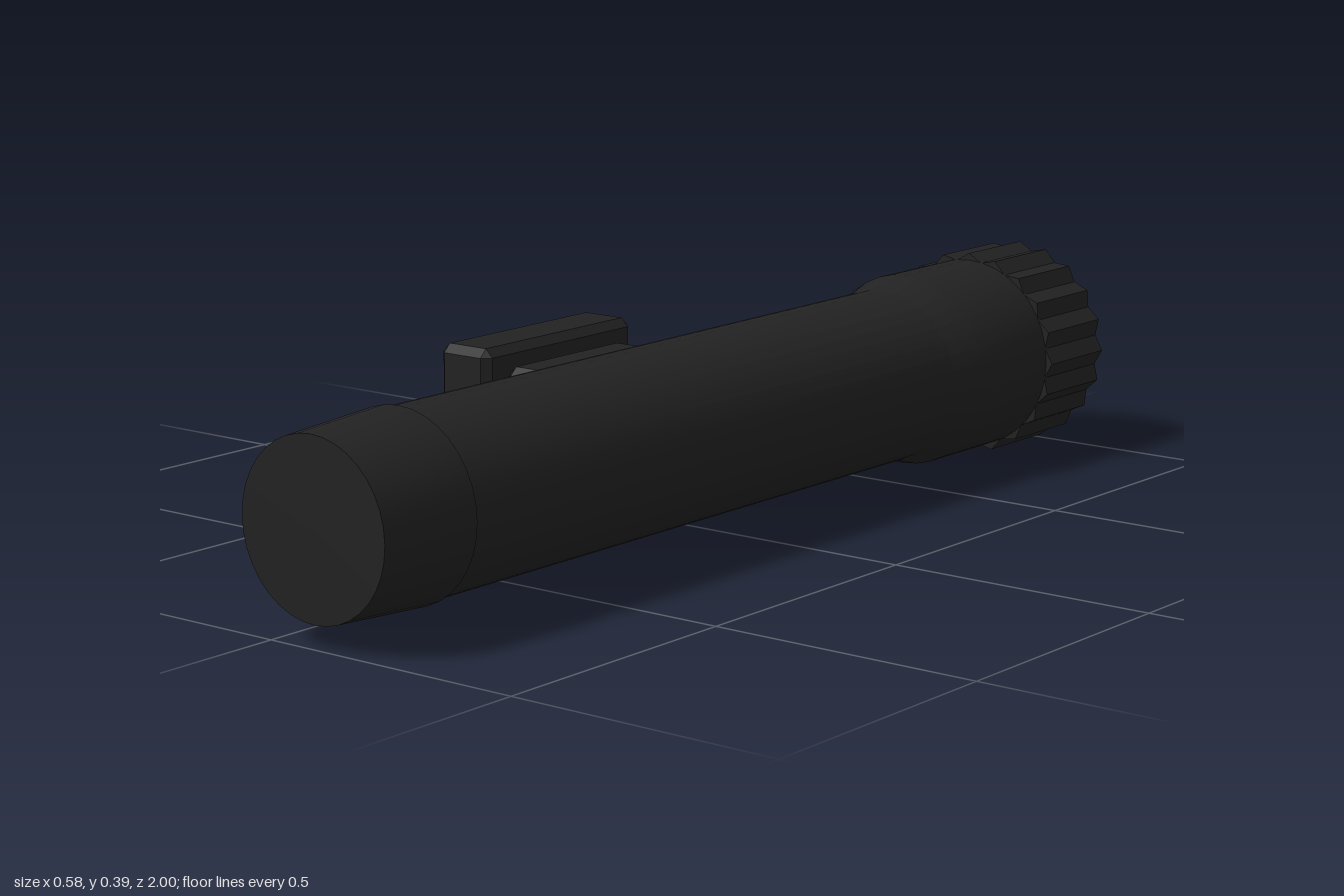
import * as THREE from 'three';
import { toCreasedNormals } from 'three/addons/utils/BufferGeometryUtils.js';
import { ConvexGeometry } from 'three/addons/geometries/ConvexGeometry.js';

const AXIS_X = 0.095, AXIS_Y = 0.195;

// Turned part along z; profile is [radius, z] with z increasing
function turned(profile) {
  const geo = new THREE.LatheGeometry(profile.map(([r, z]) => new THREE.Vector2(r, z)), 36);
  geo.rotateX(Math.PI / 2);
  return toCreasedNormals(geo, 0.3);
}

// Box with every edge cut at 45 degrees
function chamferedBox(w, h, d, c) {
  const points = [];
  for (const sx of [-1, 1]) for (const sy of [-1, 1]) for (const sz of [-1, 1]) {
    const x = w / 2, y = h / 2, z = d / 2;
    points.push(
      new THREE.Vector3(sx * x, sy * (y - c), sz * (z - c)),
      new THREE.Vector3(sx * (x - c), sy * y, sz * (z - c)),
      new THREE.Vector3(sx * (x - c), sy * (y - c), sz * z));
  }
  return new ConvexGeometry(points);
}

export function createModel() {
  const group = new THREE.Group();
  const black = new THREE.MeshStandardMaterial({ name: 'black', color: 0x222222 });
  const cream = new THREE.MeshStandardMaterial({ name: 'cream', color: 0xbdb49a });

  const add = (name, geo, mat, x, y, z) => {
    const mesh = new THREE.Mesh(geo, mat);
    mesh.name = name;
    mesh.position.set(x, y, z);
    group.add(mesh);
  };

  // Barrel flaring into the head
  add('barrel', turned([[0, -0.82], [0.18, -0.82], [0.18, -0.6], [0.161, -0.53], [0.16, 0.81], [0, 0.81]]),
    black, AXIS_X, AXIS_Y, 0);

  // Tapered tail cap
  add('tailCap', turned([[0, 0.8], [0.165, 0.8], [0.153, 1], [0, 1]]), black, AXIS_X, AXIS_Y, 0);

  // Bezel with twenty pointed ridges
  const ridges = new THREE.Shape();
  for (let i = 0; i < 40; i++) {
    const a = i * Math.PI / 20, r = i % 2 ? 0.179 : 0.193;
    if (i) ridges.lineTo(r * Math.cos(a), r * Math.sin(a));
    else ridges.moveTo(r, 0);
  }
  ridges.closePath();
  add('bezel', new THREE.ExtrudeGeometry(ridges, { depth: 0.178, bevelEnabled: false }),
    black, AXIS_X, AXIS_Y, -0.99);

  // Lens disc
  add('lens', turned([[0, -1], [0.16, -1], [0.16, -0.985], [0, -0.985]]), cream, AXIS_X, AXIS_Y, 0);

  // Side mount: spacer block and clip plate
  add('mountBlock', chamferedBox(0.135, 0.204, 0.306, 0.014), black, -0.1085, 0.195, 0.078);
  add('mountPlate', chamferedBox(0.114, 0.278, 0.404, 0.015), black, -0.232, 0.194, 0.078);

  return group;
}
